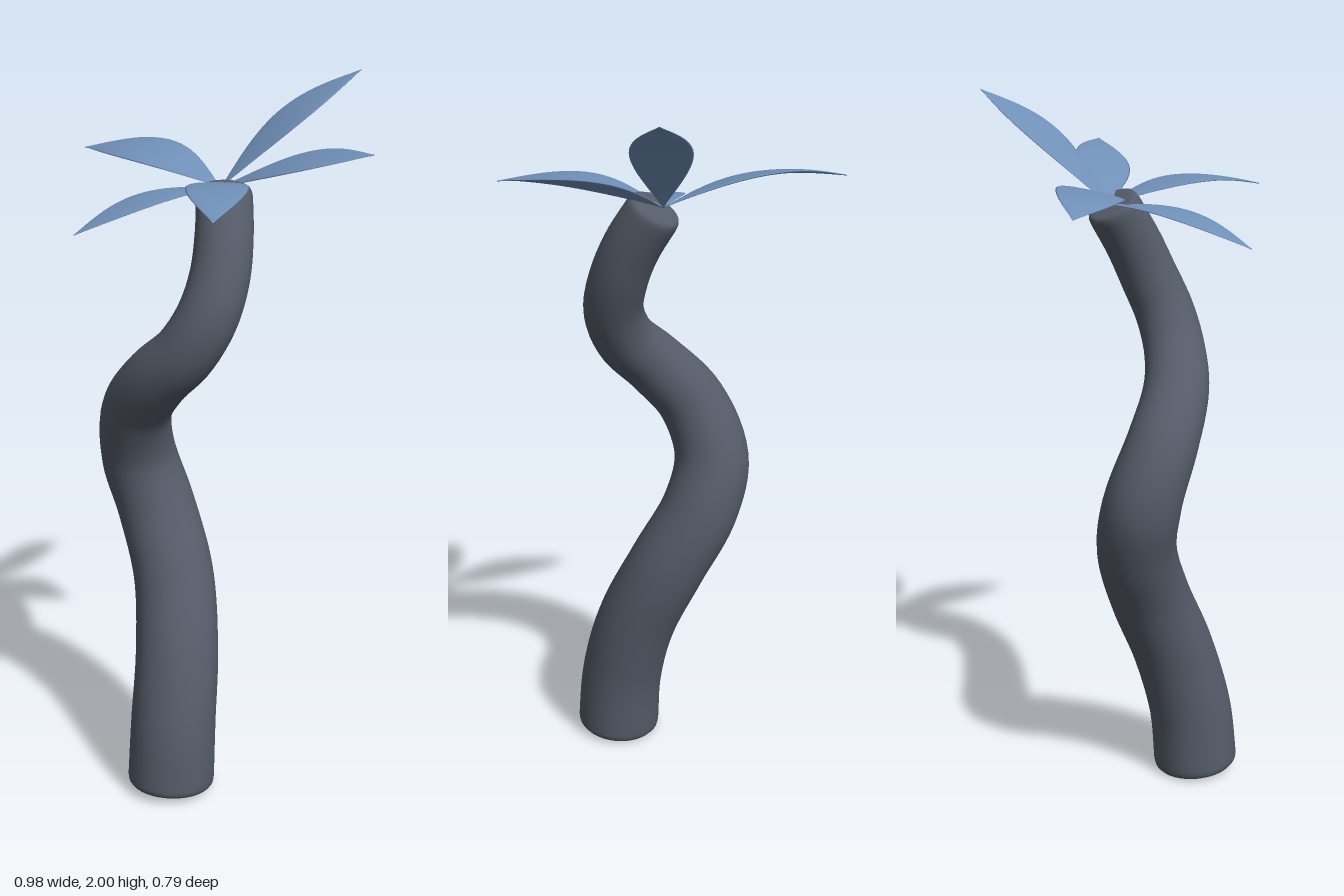
import * as THREE from 'three';

const V = (x, y, z) => new THREE.Vector3(x, y, z);

// Smooth skin over a list of equally sized closed rings of points
function loft(rings) {
  const n = rings[0].length, index = [];
  for (let i = 0; i < rings.length - 1; i++) {
    for (let j = 0; j < n; j++) {
      const a = i * n + j, b = i * n + (j + 1) % n;
      index.push(a, b, b + n, a, b + n, a + n);
    }
  }
  const geo = new THREE.BufferGeometry().setFromPoints(rings.flat());
  geo.setIndex(index);
  geo.computeVertexNormals();
  return geo;
}

// Ring of n points on an ellipse spanned by two vectors
function ring(centre, u, v, n) {
  return Array.from({ length: n }, (_, j) => {
    const a = j / n * Math.PI * 2;
    return centre.clone().addScaledVector(u, Math.cos(a)).addScaledVector(v, Math.sin(a));
  });
}

// Winding trunk: tapering sweep with softly rounded ends
function trunkGeometry() {
  const path = new THREE.CatmullRomCurve3([
    V(0.06, 0.012, 0.225), V(0.055, 0.2, 0.205), V(0.03, 0.4, 0.152), V(-0.035, 0.6, 0.08),
    V(-0.125, 0.78, 0.042), V(-0.172, 0.93, 0.058), V(-0.135, 1.09, 0.112), V(-0.035, 1.21, 0.15),
    V(0.06, 1.3, 0.148), V(0.112, 1.4, 0.12), V(0.12, 1.5, 0.075), V(0.102, 1.6, 0.03), V(0.06, 1.712, -0.03),
  ]);
  const steps = 80, frames = path.computeFrenetFrames(steps, false);
  const radius = (y) => {
    const k = THREE.MathUtils;
    return y < 0.9 ? k.lerp(0.125, 0.11, y / 0.9)
      : y < 1.3 ? k.lerp(0.11, 0.086, (y - 0.9) / 0.4) : k.lerp(0.086, 0.076, (y - 1.3) / 0.4);
  };
  const rings = [];
  const add = (i, scale, shift) => {
    const p = path.getPointAt(i / steps), r = radius(p.y) * scale;
    p.addScaledVector(frames.tangents[i], shift);
    rings.push(ring(p, frames.normals[i].clone().multiplyScalar(r), frames.binormals[i].clone().multiplyScalar(r), 40));
  };
  // end cap profile: [radius scale, inset along the path]
  const cap = [[0, 0], [0.6, 0], [0.85, 0.001], [0.93, 0.004], [0.98, 0.012]];
  cap.forEach(([s, d]) => add(0, s, d));
  for (let i = 1; i < steps; i++) add(i, 1, 0);
  cap.reverse().forEach(([s, d]) => add(steps, s, -d));
  return loft(rings);
}

// Arched pointed leaf with a thin lens section
function leafGeometry(base, tip, width, arch, roll) {
  const dir = tip.clone().sub(base), steps = 24, rings = [];
  const side = V(0, 1, 0).cross(dir).normalize();
  side.y = roll;
  for (let i = 0; i <= steps; i++) {
    const t = i / steps;
    const w = Math.max(width * Math.sin(Math.PI * t ** 1.05), 0.002);
    const centre = base.clone().addScaledVector(dir, t);
    centre.y += arch * Math.sin(Math.PI * t);
    const tangent = dir.clone().add(V(0, arch * Math.PI * Math.cos(Math.PI * t), 0)).normalize();
    const up = tangent.cross(side).normalize().multiplyScalar(0.001 + 0.06 * w);
    rings.push(ring(centre, side.clone().multiplyScalar(w), up, 20));
  }
  return loft(rings);
}

export function createModel() {
  const group = new THREE.Group();
  const bark = new THREE.MeshStandardMaterial({ color: 0x555c69 });
  const green = new THREE.MeshStandardMaterial({ color: 0x7090b8, side: THREE.DoubleSide });

  const trunk = new THREE.Mesh(trunkGeometry(), bark);
  trunk.name = 'trunk';
  group.add(trunk);

  // Crown of five leaves: name, tip, half width, arch, roll
  const crown = new THREE.Group();
  crown.name = 'crown';
  const base = V(0.043, 1.712, -0.038);
  [
    ['rightLeaf', V(-0.49, 1.755, -0.115), 0.085, 0.046, -0.2],
    ['leftLeaf', V(0.49, 1.84, -0.07), 0.076, 0.022, 0.25],
    ['frontLeftLeaf', V(0.325, 1.73, 0.395), 0.08, 0.042, 0],
    ['frontRightLeaf', V(-0.155, 1.625, 0.34), 0.068, 0.032, 0],
    ['backLeaf', V(0.255, 2.0, -0.395), 0.08, 0.035, 0],
  ].forEach(([name, tip, width, arch, roll]) => {
    const leaf = new THREE.Mesh(leafGeometry(base, tip, width, arch, roll), green);
    leaf.name = name;
    crown.add(leaf);
  });
  group.add(crown);
  return group;
}
